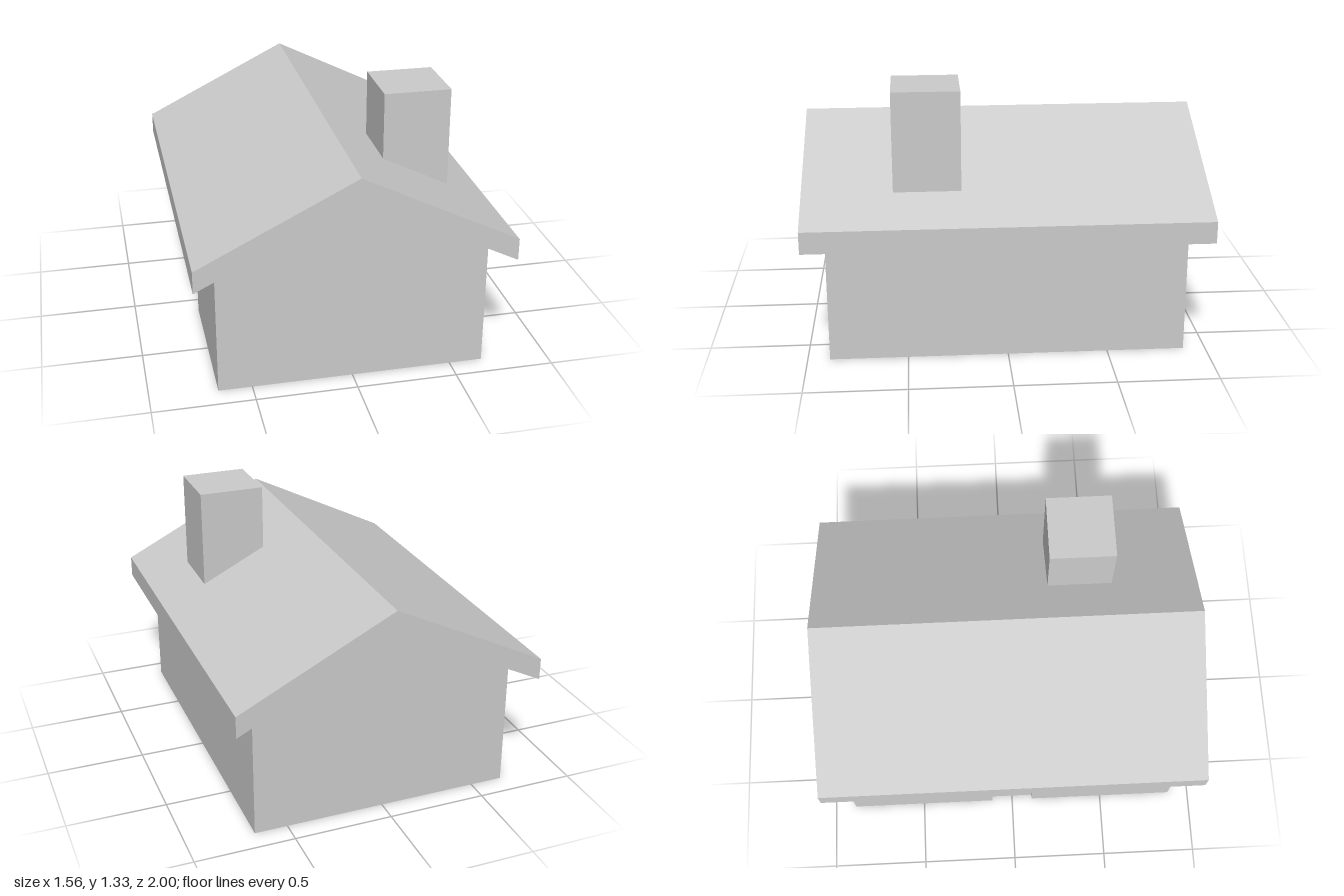
import * as THREE from 'three';

const U = 1 / 9; // building module: the house is 18 modules long

export function createModel() {
  const house = new THREE.Group();
  house.name = 'house';
  const material = new THREE.MeshStandardMaterial({ color: 0xcccccc, flatShading: true });

  const add = (parent, name, geometry) => {
    const mesh = new THREE.Mesh(geometry, material);
    mesh.name = name;
    parent.add(mesh);
    return mesh;
  };

  // Extrude an x-y outline (in modules) from z0 to z1
  const prism = (outline, z0, z1) => {
    const shape = new THREE.Shape(outline.map(([x, y]) => new THREE.Vector2(x * U, y * U)));
    return new THREE.ExtrudeGeometry(shape, { depth: (z1 - z0) * U, bevelEnabled: false })
      .translate(0, 0, z0 * U);
  };

  // Box between two corners (in modules)
  const box = (x0, x1, y0, y1, z0, z1) =>
    new THREE.BoxGeometry((x1 - x0) * U, (y1 - y0) * U, (z1 - z0) * U)
      .translate((x0 + x1) / 2 * U, (y0 + y1) / 2 * U, (z0 + z1) / 2 * U);

  // Gabled body: two solid ends and a middle bay with the doorway recess in its right wall
  const body = new THREE.Group();
  body.name = 'body';
  house.add(body);
  const gable = [[-6, 0], [6, 0], [6, 6], [0, 9], [-6, 6]];
  const doorway = [[-5, 0], [6, 0], [6, 6], [0, 9], [-6, 6], [-6, 4], [-5, 4]];
  add(body, 'frontBay', prism(gable, 1, 8));
  add(body, 'backBay', prism(gable, -8, -1));
  add(body, 'doorwayBay', prism(doorway, -1, 1));

  // Door panel standing within the recess
  add(house, 'door', box(-5.8, -5.2, 0, 4, -1, 1));

  // Overhanging roof of constant vertical thickness
  add(house, 'roof', prism([[-7, 5.5], [0, 9], [7, 5.5], [7, 6.5], [0, 10], [-7, 6.5]], -9, 9));

  // Chimney rising through the left slope
  add(house, 'chimney', box(2, 5, 6, 12, 2, 5));

  return house;
}
